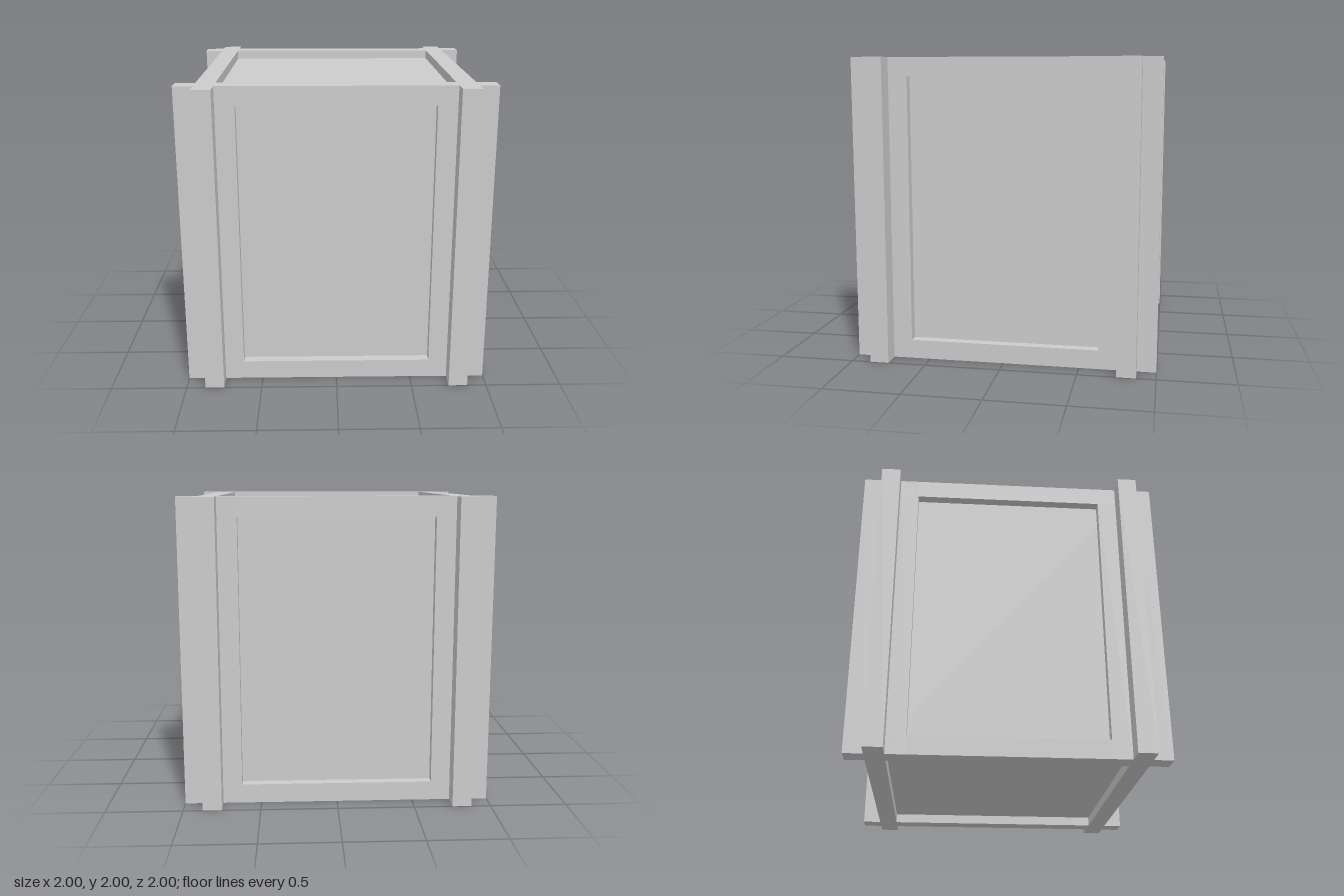
import * as THREE from 'three';

const INNER = 0.75;            // inner face of the frame
const BAR = 0.125;             // thickness of every frame bar
const MID = INNER + BAR / 2;   // centre line of the frame
const HEIGHT = 2;

export function createModel() {
  const crate = new THREE.Group();
  crate.name = 'crate';
  const material = new THREE.MeshStandardMaterial({ color: 0xcccccc, flatShading: true });

  function add(name, geometry, x, y, z) {
    const mesh = new THREE.Mesh(geometry, material);
    mesh.name = name;
    mesh.position.set(x, y, z);
    crate.add(mesh);
    return mesh;
  }

  // Recessed panels: one solid core set halfway into the frame
  add('panelCore', new THREE.BoxGeometry(2 * MID, HEIGHT - BAR, 2 * MID), 0, HEIGHT / 2, 0);

  // Corner posts with a cross-shaped section
  const a = BAR / 2, b = BAR * 1.5;
  const cross = new THREE.Shape([
    [a, -b], [a, -a], [b, -a], [b, a], [a, a], [a, b],
    [-a, b], [-a, a], [-b, a], [-b, -a], [-a, -a], [-a, -b],
  ].map(([x, y]) => new THREE.Vector2(x, y)));
  const postGeometry = new THREE.ExtrudeGeometry(cross, { depth: HEIGHT, bevelEnabled: false });
  postGeometry.rotateX(-Math.PI / 2);
  for (const sx of [-1, 1]) {
    for (const sz of [-1, 1]) {
      add(`${sz > 0 ? 'front' : 'back'}${sx > 0 ? 'Left' : 'Right'}Post`, postGeometry, sx * MID, 0, sz * MID);
    }
  }

  // Top and bottom rails between the posts
  const railX = new THREE.BoxGeometry(2 * INNER, BAR, BAR);
  const railZ = new THREE.BoxGeometry(BAR, BAR, 2 * INNER);
  for (const [level, y] of [['bottom', BAR / 2], ['top', HEIGHT - BAR / 2]]) {
    for (const s of [-1, 1]) {
      add(`${level}${s > 0 ? 'Front' : 'Back'}Rail`, railX, 0, y, s * MID);
      add(`${level}${s > 0 ? 'Left' : 'Right'}Rail`, railZ, s * MID, y, 0);
    }
  }

  return crate;
}
